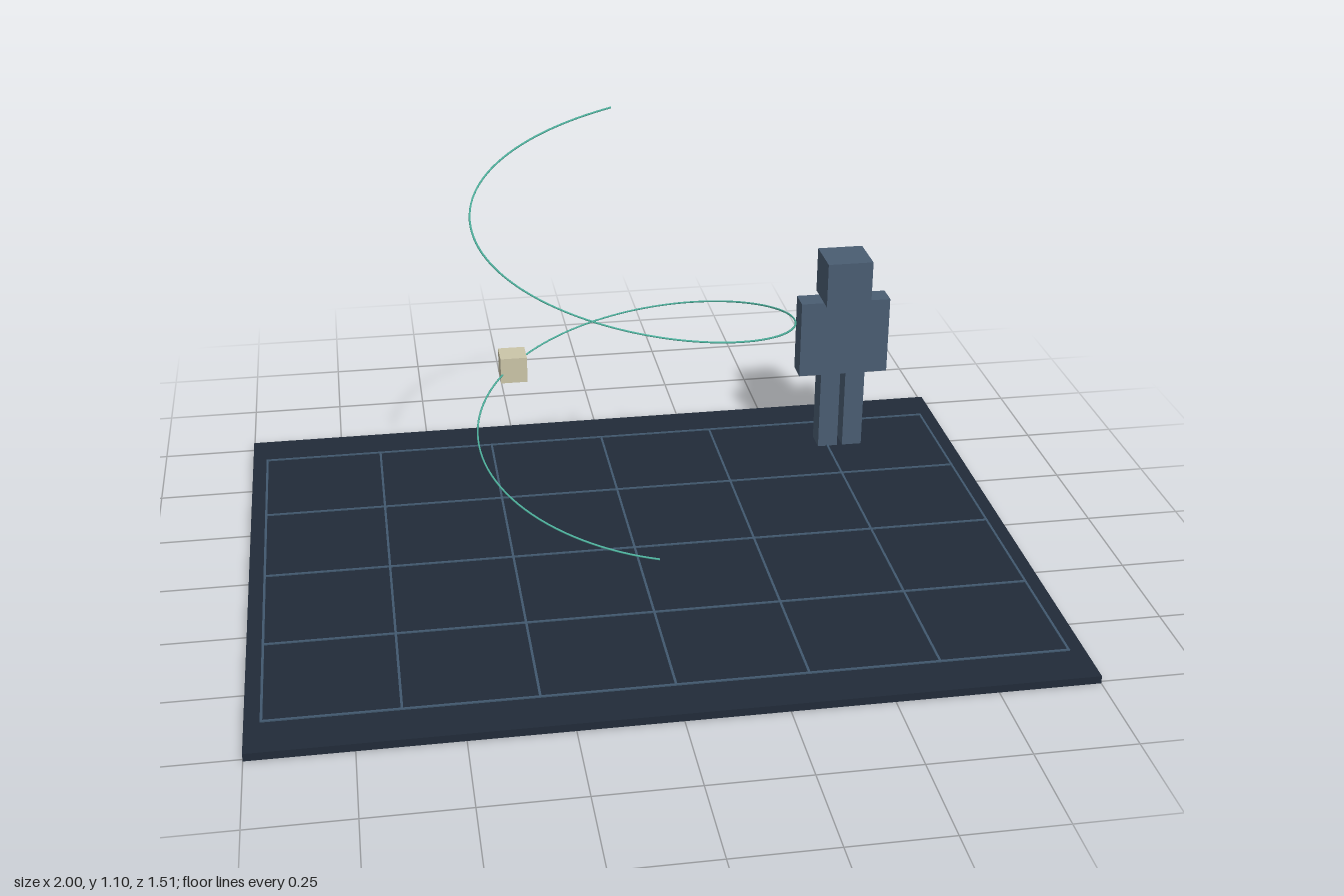
import * as THREE from 'three';

const material = (name, color) => {
  const m = new THREE.MeshStandardMaterial({ color });
  m.name = name;
  return m;
};

// Helix that climbs one and a half turns around the centre
class Helix extends THREE.Curve {
  getPoint(t, target = new THREE.Vector3()) {
    const a = t * Math.PI * 3;
    return target.set(-0.4 * Math.sin(a), 0.22 + 0.88 * t, 0.4 * Math.cos(a));
  }
}

export function createModel() {
  const model = new THREE.Group();
  model.name = 'spiralPathScene';

  const floorMat = material('darkNavy', 0x212b39);
  const lineMat = material('gridBlue', 0x41586e);
  const figureMat = material('slateBlue', 0x4a5d72);
  const pathMat = material('teal', 0x4fb39f);
  const blockMat = material('sand', 0xcbc5a8);

  const box = (parent, name, mat, size, pos) => {
    const mesh = new THREE.Mesh(new THREE.BoxGeometry(...size), mat);
    mesh.name = name;
    mesh.position.set(...pos);
    parent.add(mesh);
    return mesh;
  };

  // Floor slab
  box(model, 'floor', floorMat, [2, 0.02, 1.515], [0, 0.01, 0]);

  // Raised grid lines, six cells by four
  const grid = new THREE.Group();
  grid.name = 'floorGrid';
  model.add(grid);
  const w = 0.006, h = 0.003, y = 0.0215;
  for (let i = -3; i <= 3; i++) box(grid, 'gridLineAlongZ', lineMat, [w, h, 1.28 + w], [i * 0.32, y, 0]);
  for (let j = -2; j <= 2; j++) box(grid, 'gridLineAlongX', lineMat, [1.92 + w, h, w], [0, y, j * 0.32]);

  // Standing scale figure
  const figure = new THREE.Group();
  figure.name = 'figure';
  figure.position.set(0.676, 0, -0.52);
  model.add(figure);
  box(figure, 'head', figureMat, [0.127, 0.128, 0.125], [0, 0.535, 0]);
  box(figure, 'torso', figureMat, [0.254, 0.222, 0.0625], [0, 0.36, 0]);
  for (const side of [-1, 1]) {
    box(figure, side > 0 ? 'leftLeg' : 'rightLeg', figureMat, [0.056, 0.23, 0.0625], [side * 0.0355, 0.135, 0]);
  }

  // Thin spiral path
  const helix = new Helix();
  const path = new THREE.Mesh(new THREE.TubeGeometry(helix, 160, 0.0025, 6, false), pathMat);
  path.name = 'spiralPath';
  model.add(path);

  // Block travelling along the path
  const block = box(model, 'block', blockMat, [0.07, 0.07, 0.07], [0, 0, 0]);
  block.position.copy(helix.getPoint(0.25));

  return model;
}
